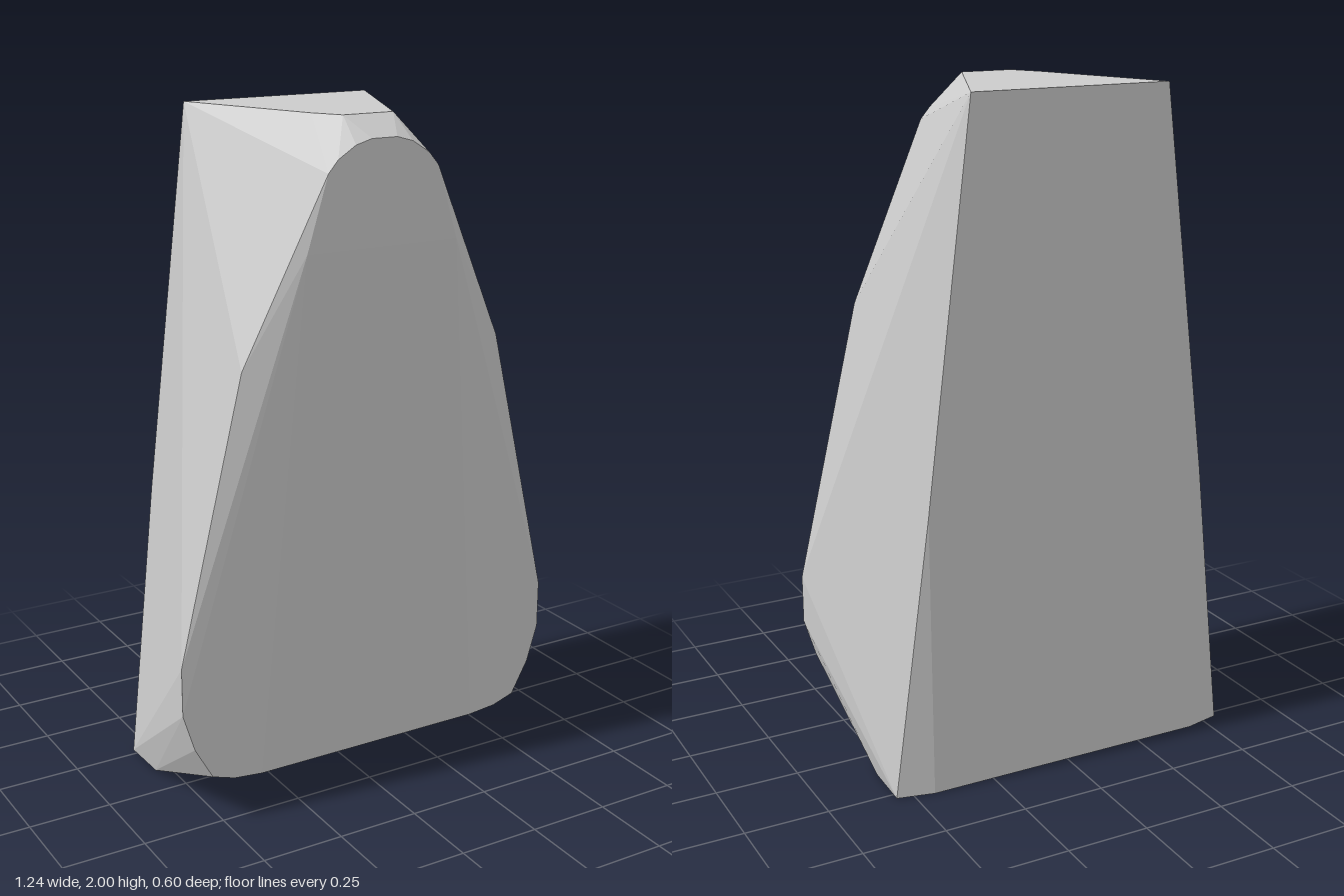
import * as THREE from 'three';
import { ConvexGeometry } from 'three/addons/geometries/ConvexGeometry.js';

export function createModel() {
  const group = new THREE.Group();
  group.name = 'facetedBlock';

  // Corners of one half; the other half is mirrored in x
  const half = [
    // flat top
    [0.305, 2, -0.3], [0.08, 2, 0.215],
    // back and foot
    [0.446, 0.85, -0.3], [0.44, 0, -0.3], [0.55, 0, -0.275], [0.545, 0, -0.12],
    // rounded lower outline of the front face
    [0.37, 0.118, 0.25], [0.46, 0.127, 0.25], [0.53, 0.15, 0.25], [0.585, 0.25, 0.25],
    [0.62, 0.365, 0.25], [0.62, 0.51, 0.25],
    // shoulders and rounded upper outline
    [0.42, 1.34, 0.256], [0.24, 1.65, 0.3], [0.175, 1.86, 0.3],
    [0.145, 1.895, 0.3], [0.09, 1.93, 0.3], [0.04, 1.944, 0.3],
  ];
  const points = [];
  for (const [x, y, z] of half) {
    for (const s of [1, -1]) points.push(new THREE.Vector3(s * x, y, z));
  }
  // Small extra chip on one side of the top
  points.push(new THREE.Vector3(-0.13, 2, 0.13));

  const body = new THREE.Mesh(
    new ConvexGeometry(points),
    new THREE.MeshStandardMaterial({ color: 0xcccccc, flatShading: true })
  );
  body.name = 'body';
  group.add(body);
  return group;
}
